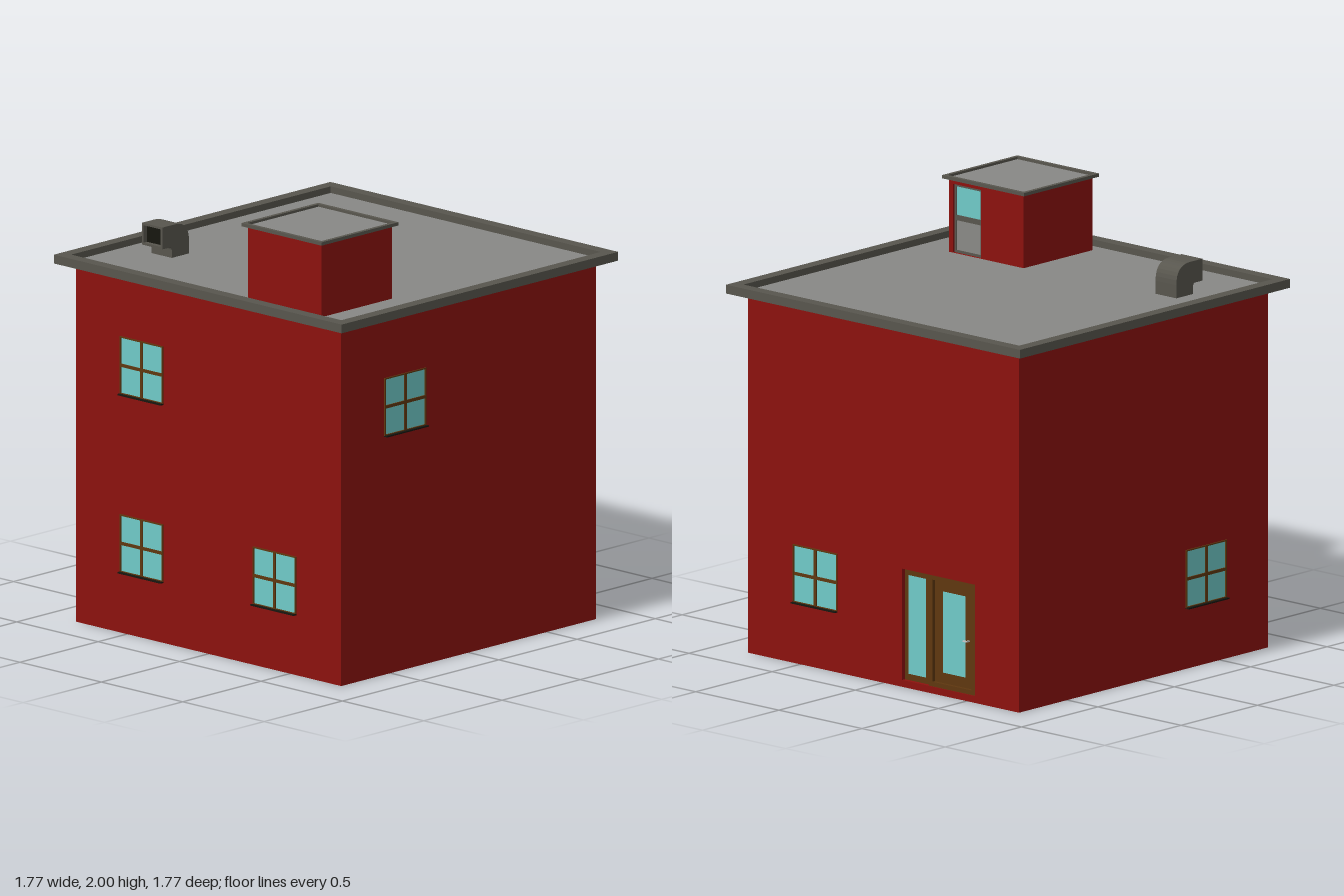
import * as THREE from 'three';

const mat = (color) => new THREE.MeshStandardMaterial({ color, side: THREE.DoubleSide });
const red = mat(0x8c120e), brown = mat(0x5f370f), glass = mat(0x70cac8), dark = mat(0x58564e),
  roofGrey = mat(0x888886), panelGrey = mat(0x8a8a86), black = mat(0x16160f), metal = mat(0xcccccc);

function add(parent, name, geometry, material, x = 0, y = 0, z = 0) {
  const m = new THREE.Mesh(geometry, material);
  m.name = name;
  m.position.set(x, y, z);
  parent.add(m);
  return m;
}
const box = (p, name, m, w, h, d, x, y, z) => add(p, name, new THREE.BoxGeometry(w, h, d), m, x, y, z);

function rectPath(path, x0, y0, x1, y1) {
  path.moveTo(x0, y0);
  path.lineTo(x1, y0);
  path.lineTo(x1, y1);
  path.lineTo(x0, y1);
  path.closePath();
  return path;
}

// Rectangular ring with border t, extruded along z and centred on its own origin
function ring(w, h, t, depth) {
  const s = rectPath(new THREE.Shape(), -w / 2, -h / 2, w / 2, h / 2);
  s.holes.push(rectPath(new THREE.Path(), -w / 2 + t, -h / 2 + t, w / 2 - t, h / 2 - t));
  return new THREE.ExtrudeGeometry(s, { depth, bevelEnabled: false }).translate(0, 0, -depth / 2);
}

// Thin wall panel facing +z in a turned group; openings are [x0, y0, x1, y1]
function wall(parent, name, half, height, turn, openings) {
  const g = new THREE.Group();
  g.name = name;
  g.rotation.y = turn;
  parent.add(g);
  const s = rectPath(new THREE.Shape(), -half, 0, half, height);
  for (const o of openings) s.holes.push(rectPath(new THREE.Path(), ...o));
  add(g, name + 'Panel', new THREE.ShapeGeometry(s), red, 0, 0, half);
  return g;
}

const HALF = 0.815, HEIGHT = 1.64, WIN = 0.265;

// Four-pane window with frame, glazing bars and sill
function windowUnit(parent, x, y) {
  const g = new THREE.Group();
  g.name = 'window';
  g.position.set(x, y, HALF);
  parent.add(g);
  add(g, 'windowFrame', ring(WIN, WIN, 0.006, 0.012), brown);
  box(g, 'windowGlass', glass, WIN - 0.01, WIN - 0.01, 0.004, 0, 0, -0.002);
  box(g, 'verticalBar', brown, 0.014, WIN, 0.011, 0, 0, 0);
  box(g, 'horizontalBar', brown, WIN, 0.014, 0.011, 0, 0, 0);
  box(g, 'windowSill', black, WIN, 0.006, 0.03, 0, -WIN / 2, 0.005);
}

// Main entrance: recessed side light and glazed door
function entrance(parent) {
  const g = new THREE.Group();
  g.name = 'entrance';
  g.position.z = HALF - 0.03;
  parent.add(g);
  add(g, 'doorReveal', ring(0.446, 0.516, 0.004, 0.03), red, 0.33, 0.285, 0.014);
  box(g, 'sideLightFrame', brown, 0.155, 0.51, 0.02, 0.187, 0.285, 0);
  box(g, 'sideLightGlass', glass, 0.105, 0.45, 0.024, 0.185, 0.285, 0);
  add(g, 'doorFrame', ring(0.28, 0.51, 0.022, 0.04), brown, 0.408, 0.285, 0.005);
  box(g, 'doorLeaf', brown, 0.24, 0.47, 0.02, 0.408, 0.285, 0);
  box(g, 'doorGlass', glass, 0.135, 0.37, 0.024, 0.408, 0.285, 0);
  box(g, 'doorHandle', metal, 0.025, 0.006, 0.006, 0.488, 0.27, 0.028);
  box(g, 'handlePost', metal, 0.006, 0.006, 0.02, 0.498, 0.27, 0.018);
}

// Flat roof sheet with a raised rim standing on y
function flatRoof(parent, name, half, rim, height, y) {
  add(parent, name + 'Rim', ring(half * 2, half * 2, rim, height), dark, 0, y + height / 2, 0).rotation.x = -Math.PI / 2;
  add(parent, name + 'Sheet', new THREE.PlaneGeometry(half * 2 - rim, half * 2 - rim), roofGrey, 0, y + height * 0.25, 0)
    .rotation.x = -Math.PI / 2;
}

// Stair hut on the roof with a half-glazed door
function roofHut(parent) {
  const g = new THREE.Group();
  g.name = 'roofHut';
  g.position.set(-0.545, HEIGHT, 0.425);
  parent.add(g);
  const half = 0.225, h = 0.347;
  for (const i of [0, 2, 3]) wall(g, 'hutWall', half, h, i * Math.PI / 2, []);
  const side = wall(g, 'hutDoorWall', half, h, Math.PI / 2, [[-0.2, 0.01, -0.03, 0.325]]);
  const z = half - 0.02;
  add(side, 'hutDoorReveal', ring(0.176, 0.321, 0.004, 0.025), red, -0.115, 0.1675, z + 0.007);
  add(side, 'hutDoorFrame', ring(0.17, 0.315, 0.012, 0.02), dark, -0.115, 0.1675, z);
  box(side, 'hutDoorRail', dark, 0.15, 0.024, 0.018, -0.115, 0.17, z);
  box(side, 'hutDoorGlass', glass, 0.15, 0.14, 0.01, -0.115, 0.248, z);
  box(side, 'hutDoorPanel', panelGrey, 0.15, 0.15, 0.01, -0.115, 0.09, z);
  flatRoof(g, 'hutRoof', 0.246, 0.018, 0.015, 0.345);
}

// Square-duct elbow vent with its mouth towards -x
function roofVent(parent) {
  const g = new THREE.Group();
  g.name = 'roofVent';
  g.position.set(-0.455, HEIGHT, -0.61);
  parent.add(g);
  const s = new THREE.Shape();
  s.moveTo(-0.025, 0);
  s.lineTo(0.085, 0);
  s.lineTo(0.085, 0.07);
  s.quadraticCurveTo(0.085, 0.16, -0.005, 0.16);
  s.lineTo(-0.06, 0.16);
  s.lineTo(-0.06, 0.06);
  s.lineTo(-0.04, 0.06);
  s.quadraticCurveTo(-0.025, 0.06, -0.025, 0.045);
  s.closePath();
  add(g, 'ventElbow', new THREE.ExtrudeGeometry(s, { depth: 0.125, bevelEnabled: false, curveSegments: 8 }), dark, 0, 0, -0.0625);
  add(g, 'ventMouth', ring(0.125, 0.1, 0.01, 0.025), dark, -0.0725, 0.11, 0).rotation.y = Math.PI / 2;
  box(g, 'ventOpening', black, 0.002, 0.08, 0.105, -0.061, 0.11, 0);
}

export function createModel() {
  const house = new THREE.Group();
  house.name = 'house';

  // Outer walls: window centres [x, y] in each wall's own plane, seen from outside
  const low = 0.41, high = 1.225, off = 0.408;
  const layout = [
    ['frontWall', 0, [[-off, high]]],
    ['leftWall', Math.PI / 2, [[-off, low]]],
    ['backWall', Math.PI, [[off, low]]],
    ['rightWall', -Math.PI / 2, [[-off, low], [-off, high], [off, low]]],
  ];
  for (const [name, turn, centres] of layout) {
    const r = WIN / 2;
    const openings = centres.map(([x, y]) => [x - r, y - r, x + r, y + r]);
    if (name === 'leftWall') openings.push([0.11, 0.03, 0.55, 0.54]);
    const g = wall(house, name, HALF, HEIGHT, turn, openings);
    for (const [x, y] of centres) windowUnit(g, x, y);
    if (name === 'leftWall') entrance(g);
  }

  flatRoof(house, 'roof', 0.884, 0.055, 0.04, HEIGHT);
  roofHut(house);
  roofVent(house);
  return house;
}
